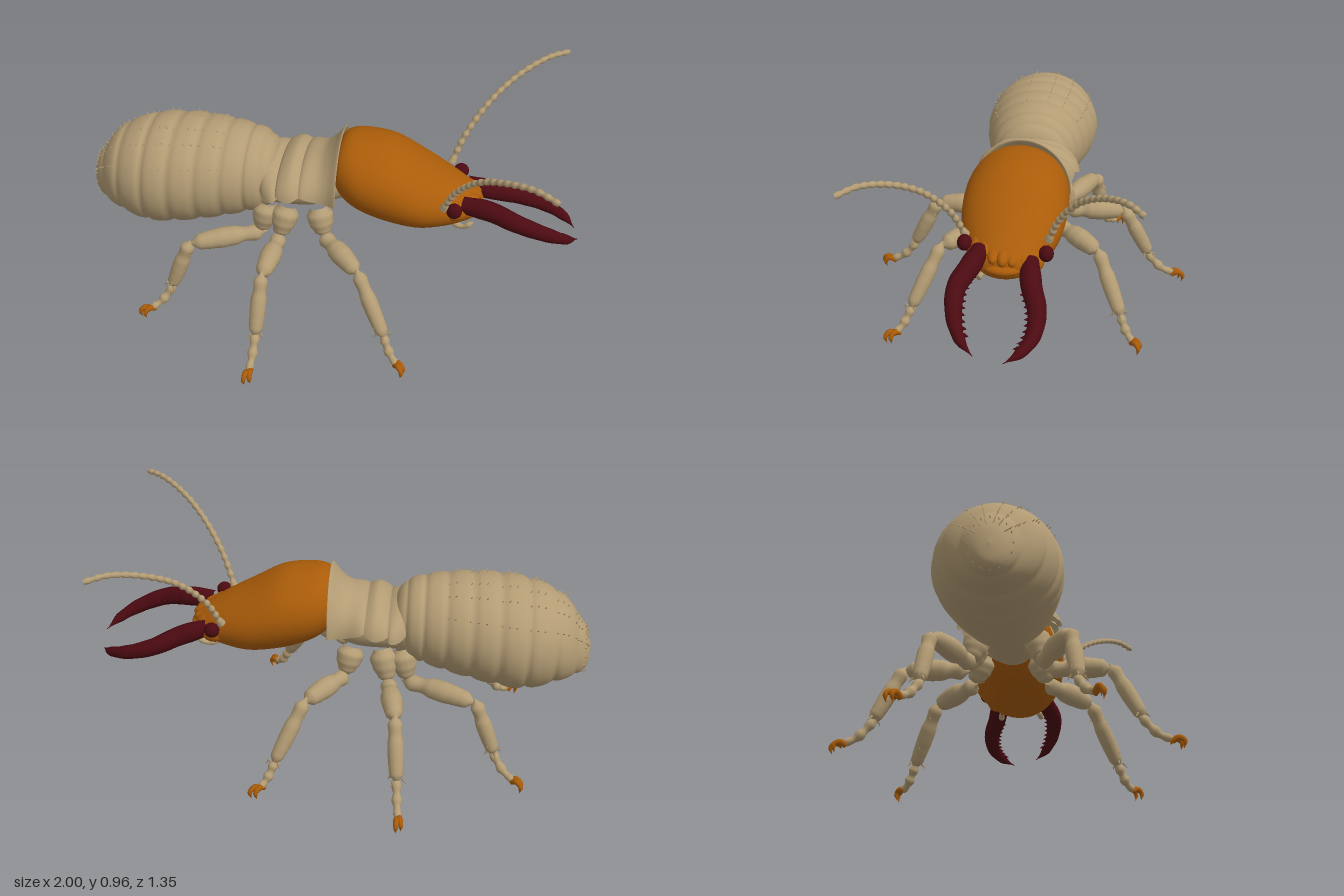
import * as THREE from 'three';
import { mergeVertices, mergeGeometries } from 'three/addons/utils/BufferGeometryUtils.js';

const V = (x, y, z) => new THREE.Vector3(x, y, z);
const mat = (name, color, side = THREE.FrontSide) => {
  const m = new THREE.MeshStandardMaterial({ color, side });
  m.name = name;
  return m;
};

// Smooth grid surface: u runs along the part, v runs round it.
function grid(nu, nv, fn) {
  const pos = [], idx = [];
  for (let i = 0; i <= nu; i++) {
    for (let j = 0; j <= nv; j++) pos.push(...fn(i / nu, j / nv).toArray());
  }
  for (let i = 0; i < nu; i++) {
    for (let j = 0; j < nv; j++) {
      const a = i * (nv + 1) + j, b = a + 1, c = a + nv + 1, d = c + 1;
      idx.push(a, b, c, b, d, c);
    }
  }
  let g = new THREE.BufferGeometry();
  g.setAttribute('position', new THREE.Float32BufferAttribute(pos, 3));
  g.setIndex(idx);
  g = mergeVertices(g, 1e-5);
  g.computeVertexNormals();
  return g;
}

// Surface through elliptical sections [x, centreY, radiusY, radiusZ, half arc].
function sections(rows, scale = () => 1) {
  const a = new THREE.CatmullRomCurve3(rows.map(r => V(r[0], r[1], r[4] ?? Math.PI)), false, 'catmullrom');
  const b = new THREE.CatmullRomCurve3(rows.map(r => V(r[2], r[3], 0)), false, 'catmullrom');
  return (u, v) => {
    const p = a.getPoint(u), r = b.getPoint(u), t = (v * 2 - 1) * p.z, k = scale(p.x);
    return V(p.x, p.y + Math.max(r.x, 0) * k * Math.cos(t), Math.max(r.y, 0) * k * Math.sin(t));
  };
}

// Round limb along a curve; radii are spread evenly over its length.
function limb(points, radii, nu = 18, nv = 12) {
  const curve = new THREE.CatmullRomCurve3(points);
  const fr = curve.computeFrenetFrames(nu);
  return grid(nu, nv, (u, v) => {
    const i = Math.round(u * nu), f = u * (radii.length - 1), k = Math.min(Math.floor(f), radii.length - 2);
    const s = (f - k) * (f - k) * (3 - 2 * (f - k));
    const r = radii[k] + (radii[k + 1] - radii[k]) * s, t = v * Math.PI * 2;
    return curve.getPointAt(u)
      .addScaledVector(fr.normals[i], r * Math.cos(t))
      .addScaledVector(fr.binormals[i], r * Math.sin(t));
  });
}

// Small pointed cone standing at p in direction d.
function spike(p, d, len, r) {
  const g = new THREE.ConeGeometry(r, len, 5).translate(0, len * 0.4, 0);
  g.applyQuaternion(new THREE.Quaternion().setFromUnitVectors(V(0, 1, 0), d.clone().normalize()));
  return g.translate(p.x, p.y, p.z);
}

export function createModel() {
  const root = new THREE.Group();
  const tan = mat('tan shell', 0xb39c74);
  const plate = mat('tan plate', 0xb39c74, THREE.DoubleSide);
  const amber = mat('amber', 0xaa5c09);
  const maroon = mat('dark maroon', 0x4b0a11);

  const add = (name, g, m, parent = root) => {
    const o = new THREE.Mesh(g, m);
    o.name = name;
    parent.add(o);
    return o;
  };
  const ball = (name, m, p, rx, ry, rz, parent = root) => {
    const g = new THREE.SphereGeometry(1, 24, 16).scale(rx, ry, rz);
    return add(name, g.translate(p.x, p.y, p.z), m, parent);
  };

  // Abdomen with swollen segments
  const cuts = [-1.01, -0.94, -0.85, -0.74, -0.63, -0.52, -0.42, -0.33, -0.26, -0.16];
  const swell = (x) => {
    const i = Math.max(0, cuts.findIndex((c, k) => x >= c && x < (cuts[k + 1] ?? 9)));
    const t = (x - cuts[i]) / ((cuts[i + 1] ?? x + 1) - cuts[i]);
    return 1.01 - 0.055 * Math.pow(Math.abs(2 * t - 1), 3.5);
  };
  const abdomen = sections([
    [-1.0, 0.465, 0, 0], [-0.988, 0.468, 0.07, 0.05], [-0.95, 0.488, 0.12, 0.1], [-0.87, 0.523, 0.178, 0.178],
    [-0.74, 0.535, 0.221, 0.23], [-0.6, 0.553, 0.22, 0.236], [-0.45, 0.57, 0.202, 0.215],
    [-0.33, 0.58, 0.176, 0.186], [-0.26, 0.58, 0.152, 0.162], [-0.215, 0.575, 0.1, 0.11], [-0.205, 0.57, 0, 0],
  ], swell);
  add('abdomen', grid(120, 48, abdomen), tan);

  // Rows of short bristles on the back
  const hairs = [];
  for (const ang of [-1.0, -0.55, -0.22, 0.22, 0.55, 1.0]) {
    for (let k = 0; k < 26; k++) {
      if (k % 4 === 3) continue;
      const p = abdomen(0.12 + k * 0.02, 0.5 + ang / (2 * Math.PI));
      hairs.push(spike(p, V(-0.3, Math.cos(ang), Math.sin(ang)), 0.016, 0.0035));
    }
  }
  for (let k = 0; k < 16; k++) {
    const p = abdomen(0.16, k / 16);
    hairs.push(spike(p, V(-0.5, p.y - 0.5, p.z), 0.016, 0.0035));
  }
  add('abdomenBristles', mergeGeometries(hairs), tan);

  // Thorax core and neck
  add('thorax', grid(30, 32, sections([
    [-0.32, 0.56, 0.02, 0.02], [-0.27, 0.56, 0.1, 0.11], [-0.17, 0.56, 0.1, 0.135], [-0.06, 0.56, 0.095, 0.125],
    [0.03, 0.58, 0.085, 0.1], [0.12, 0.6, 0.07, 0.08],
  ])), tan);

  // Back plates and the flared collar behind the head
  [
    ['hindBackPlate', [[-0.27, 0.56, 0.12, 0.15, 1.3], [-0.24, 0.56, 0.125, 0.185, 1.5], [-0.2, 0.56, 0.112, 0.203, 1.5], [-0.17, 0.56, 0.09, 0.17, 1.3]]],
    ['middleBackPlate', [[-0.2, 0.57, 0.08, 0.17, 1.2], [-0.185, 0.57, 0.112, 0.2, 1.4], [-0.14, 0.57, 0.136, 0.212, 1.5], [-0.1, 0.57, 0.12, 0.2, 1.35], [-0.07, 0.57, 0.1, 0.17, 1.1]]],
    ['collar', [[-0.12, 0.57, 0.1, 0.17, 1.1], [-0.09, 0.57, 0.132, 0.2, 1.35], [-0.03, 0.57, 0.148, 0.182, 1.55], [0.01, 0.573, 0.18, 0.182, 1.6], [0.043, 0.575, 0.222, 0.195, 1.6], [0.048, 0.575, 0.218, 0.192, 1.6], [0.03, 0.575, 0.19, 0.175, 1.6]]],
  ].forEach(([n, rows]) => add(n, grid(30, 36, sections(rows)), plate));

  // Head capsule
  const head = new THREE.Group();
  head.name = 'head';
  root.add(head);
  add('headCapsule', grid(50, 44, sections([
    [0.02, 0.665, 0, 0], [0.035, 0.665, 0.085, 0.12], [0.07, 0.656, 0.13, 0.165], [0.14, 0.637, 0.153, 0.196],
    [0.25, 0.61, 0.162, 0.204], [0.37, 0.57, 0.137, 0.19], [0.47, 0.55, 0.104, 0.153],
    [0.545, 0.54, 0.07, 0.115], [0.59, 0.535, 0.042, 0.075], [0.605, 0.535, 0, 0],
  ])), amber, head);

  // Lumpy brow and lips
  for (let i = -3; i <= 3; i++) {
    ball('browBump', amber, V(0.53 - 0.007 * i * i, 0.565 + 0.003 * i, i * 0.035), 0.082, 0.038 - 0.005 * (i & 1), 0.032, head);
  }
  ball('upperLip', amber, V(0.57, 0.53, 0), 0.05, 0.026, 0.075, head);
  ball('lowerLip', amber, V(0.53, 0.495, 0), 0.05, 0.026, 0.08, head);

  for (const s of [-1, 1]) {
    const side = s > 0 ? 'left' : 'right'; // sides named along the +z and -z flanks
    const lift = s * 0.012;
    ball(side + 'Eye', maroon, V(0.512, 0.578 + lift, s * 0.152), 0.031, 0.031, 0.028, head);
    ball(side + 'Cheek', amber, V(0.51, 0.54 + lift, s * 0.11), 0.05, 0.035, 0.035, head);
    add(side + 'Feeler', limb([V(0.5, 0.475, s * 0.08), V(0.55, 0.472, s * 0.09), V(0.59, 0.495, s * 0.085)],
      [0.008, 0.013, 0.009, 0.013, 0.003], 14, 8), tan, head);

    // Curved jaw with saw teeth on its inner edge
    const jaw = s > 0
      ? [V(0.54, 0.577, 0.09), V(0.65, 0.573, 0.108), V(0.76, 0.55, 0.138), V(0.88, 0.503, 0.125), V(0.955, 0.464, 0.09), V(1.0, 0.434, 0.04)]
      : [V(0.54, 0.545, -0.095), V(0.65, 0.512, -0.115), V(0.76, 0.472, -0.15), V(0.87, 0.441, -0.148), V(0.945, 0.42, -0.112), V(0.988, 0.405, -0.062)];
    add(side + 'Jaw', limb(jaw, [0.034, 0.04, 0.038, 0.034, 0.029, 0.021, 0.001], 36, 18), maroon, head);
    const path = new THREE.CatmullRomCurve3(jaw), teeth = [];
    for (let k = 0; k < 10; k++) {
      const u = 0.32 + k * 0.055;
      const p = path.getPointAt(u).add(V(0, 0, -s * (0.033 - 0.022 * (u - 0.32))));
      teeth.push(spike(p, V(0.25, 0, -s), 0.02, 0.01));
    }
    add(side + 'JawTeeth', mergeGeometries(teeth), maroon, head);

    // Beaded antenna
    const beads = [0.018];
    for (let k = 0; k < 19; k++) beads.push(0.0148 - k * 0.0001, 0.009);
    add(side + 'Antenna', limb([V(0.47, 0.6, s * 0.155), V(0.515, 0.715, s * 0.2), V(0.6, 0.835, s * 0.28),
      V(0.7, 0.912, s * 0.37), V(0.81, 0.955, s * 0.455), V(0.89, 0.955, s * 0.515)], beads, 156, 8), tan, head);

    // Legs: skew between the two sides, then body joint, hip, knee, ankle and toe
    [
      ['front', 0.065, [-0.04, 0.5, 0.11], [-0.01, 0.38, 0.15], [0.14, 0.367, 0.315], [0.265, 0.13, 0.425], [0.335, 0.04, 0.495]],
      ['middle', 0.04, [-0.16, 0.5, 0.12], [-0.19, 0.365, 0.17], [-0.22, 0.365, 0.4], [-0.232, 0.14, 0.515], [-0.242, 0.04, 0.645]],
      ['hind', 0.015, [-0.24, 0.5, 0.11], [-0.27, 0.362, 0.14], [-0.54, 0.36, 0.255], [-0.625, 0.13, 0.28], [-0.725, 0.04, 0.355]],
    ].forEach(([n, skew, ...joints]) => {
      const leg = new THREE.Group();
      leg.name = side + '_' + n + 'Leg';
      root.add(leg);
      const [top, hip, knee, ankle, toe] = joints.map(([x, y, z]) => V(x + skew * s * z, y, s * z));
      const mix = (a, b, t, dy = 0) => a.clone().lerp(b, t).add(V(0, dy, 0));
      add('coxa', limb([top, mix(top, hip, 0.5), hip], [0.035, 0.055, 0.05, 0.036, 0.002]), tan, leg);
      add('femur', limb([mix(hip, knee, -0.1), mix(hip, knee, 0.5), mix(knee, ankle, 0.04)],
        [0.002, 0.034, 0.03, 0.041, 0.043, 0.039, 0.034, 0.003], 28), tan, leg);
      add('tibia', limb([mix(knee, ankle, -0.04), mix(knee, ankle, 0.5), mix(knee, ankle, 1.03)],
        [0.003, 0.029, 0.026, 0.032, 0.032, 0.03, 0.027, 0.003], 28), tan, leg);
      add('foot', limb([mix(ankle, toe, -0.1), mix(ankle, toe, 0.4, -0.024), mix(ankle, toe, 0.7, -0.014), mix(ankle, toe, 0.9, 0.006)],
        [0.012, 0.02, 0.014, 0.021, 0.013, 0.016, 0.004], 24), tan, leg);

      // Shin bristles and ankle spurs
      const out = toe.clone().sub(ankle).setY(0).normalize(), across = V(-out.z, 0, out.x), spurs = [];
      for (let k = 0; k < 12; k++) {
        const d = across.clone().multiplyScalar(k % 2 ? 1 : -1).addScaledVector(out, k % 3 - 0.7).normalize();
        const last = k > 8;
        const p = mix(knee, ankle, last ? 0.94 : 0.25 + k * 0.075).addScaledVector(d, 0.025);
        spurs.push(spike(p, d.add(V(0, -1.2, 0)), last ? 0.028 : 0.018, last ? 0.006 : 0.004));
      }
      add('spurs', mergeGeometries(spurs), tan, leg);

      // Pair of hooked claws, one reaching a little further
      for (const c of [-1, 1]) {
        const at = (f, w, y) => toe.clone().addScaledVector(out, f + c * 0.006).addScaledVector(across, c * w).setY(y);
        add('claw', limb([at(-0.035, 0.003, 0.042), at(-0.01, 0.007, 0.055), at(0.012, 0.01, 0.042), at(0.008, 0.01, 0.01)],
          [0.012, 0.012, 0.009, 0.001], 14, 8), amber, leg);
      }
    });
  }
  return root;
}
